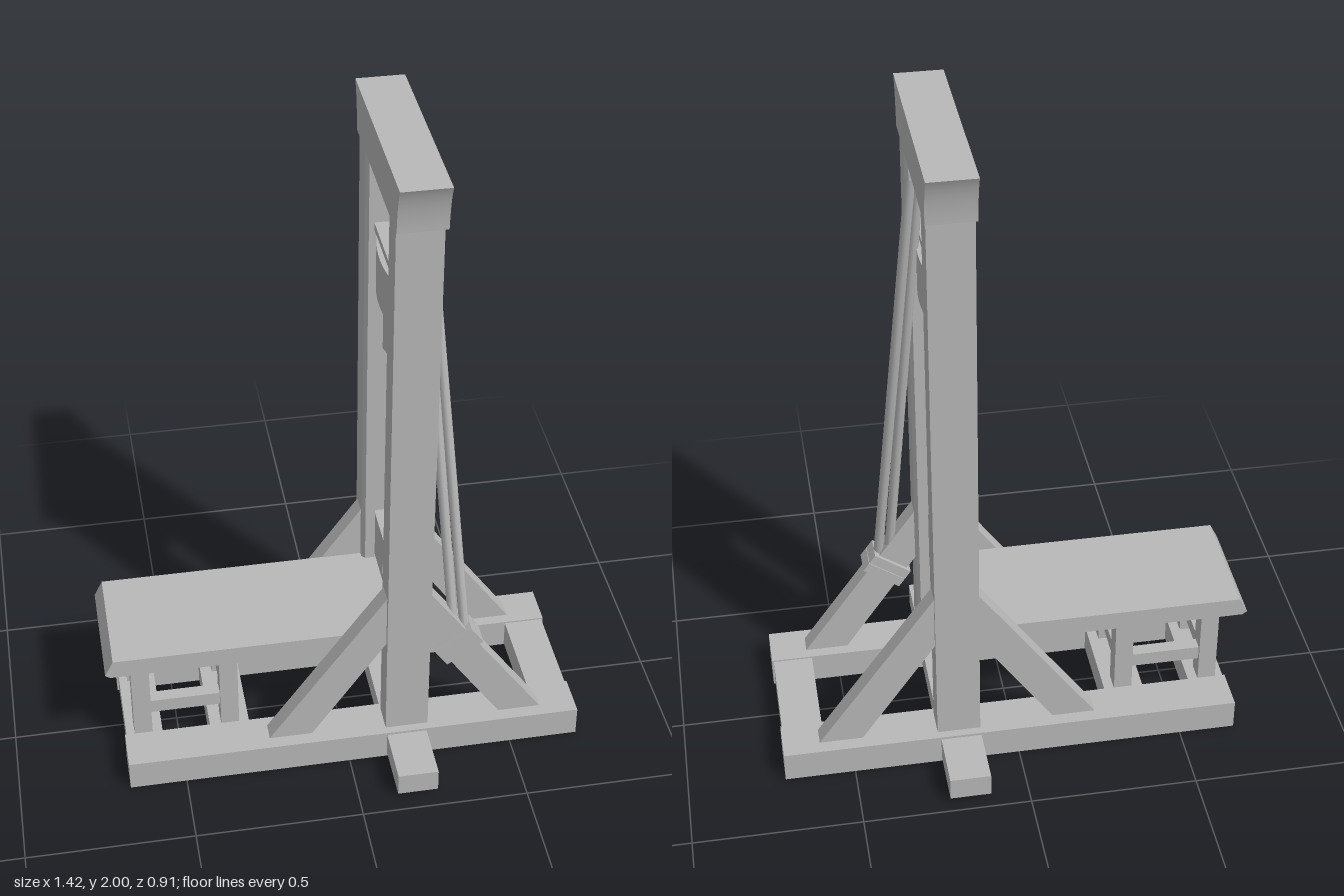
import * as THREE from 'three';

export function createModel() {
  const model = new THREE.Group();
  const grey = new THREE.MeshStandardMaterial({ color: 0xb8b8b8 });
  grey.name = 'grey';
  const frame = new THREE.Group();
  frame.name = 'frame';
  frame.position.z = -0.007;
  model.add(frame);

  const add = (name, geometry) => {
    const mesh = new THREE.Mesh(geometry, grey);
    mesh.name = name;
    frame.add(mesh);
    return mesh;
  };
  // Box given by its lower and upper limits on each axis
  const box = (name, x0, x1, y0, y1, z0, z1) => add(name,
    new THREE.BoxGeometry(x1 - x0, y1 - y0, z1 - z0)
      .translate((x0 + x1) / 2, (y0 + y1) / 2, (z0 + z1) / 2));
  const outline = (pts) => new THREE.Shape(pts.map(([a, b]) => new THREE.Vector2(a, b)));
  const extrude = (shape, depth) =>
    new THREE.ExtrudeGeometry(shape, { depth, bevelEnabled: false, curveSegments: 24 });
  // Prism with an x-y outline between z0 and z1
  const prismZ = (name, pts, z0, z1) => add(name, extrude(outline(pts), z1 - z0).translate(0, 0, z0));
  // Prism with a z-y outline between x0 and x1
  const prismX = (name, shape, x0, x1) =>
    add(name, extrude(shape, x1 - x0).rotateY(-Math.PI / 2).translate(x1, 0, 0));
  // Prism with an x-z outline between y0 and y1
  const prismY = (name, pts, y0, y1) =>
    add(name, extrude(outline(pts.map(([x, z]) => [x, -z])), y1 - y0).rotateX(-Math.PI / 2).translate(0, y0, 0));
  // Straight round rope between two points
  const rope = (name, a, b, radius) => add(name, new THREE.TubeGeometry(
    new THREE.LineCurve3(new THREE.Vector3(...a), new THREE.Vector3(...b)), 1, radius, 8));

  for (const s of [-1, 1]) {
    const span = (a, b) => (s > 0 ? [a, b] : [-b, -a]);
    // Base rail
    box('baseRail', -0.67, 0.71, 0, 0.095, ...span(0.15, 0.28));
    // Upright with a guide groove on its inner face
    prismY('upright', [
      [0.115, 0.255], [0.245, 0.255], [0.245, 0.17], [0.235, 0.158], [0.205, 0.158], [0.205, 0.195],
      [0.155, 0.195], [0.155, 0.158], [0.125, 0.158], [0.115, 0.17],
    ].map(([x, z]) => [x, z * s]), 0.09, 1.87);
    // Diagonal braces on both sides of the upright
    prismZ('frontBrace', [[0.116, 0.6], [-0.24, 0.094], [-0.11, 0.094], [0.116, 0.425]], ...span(0.184, 0.24));
    prismZ('rearBrace', [[0.244, 0.6], [0.6, 0.094], [0.47, 0.094], [0.244, 0.425]], ...span(0.184, 0.24));
    // Bench legs and long stretchers
    for (const x of [-0.64, -0.375]) box('benchLeg', x, x + 0.055, 0.08, 0.38, ...span(0.088, 0.148));
    box('benchSideStretcher', -0.6, -0.36, 0.165, 0.21, ...span(0.098, 0.138));
  }

  // Cross beams of the base and the wide foot
  for (const [x0, x1] of [[-0.665, -0.555], [-0.41, -0.29], [0.585, 0.705]])
    box('crossBeam', x0, x1, 0.005, 0.09, -0.16, 0.16);
  box('foot', 0.115, 0.237, 0.015, 0.087, -0.457, 0.457);

  // Bench
  prismZ('benchTop', [[-0.715, 0.375], [-0.69, 0.425], [0.165, 0.425], [0.165, 0.365], [-0.7, 0.365]], -0.185, 0.183);
  for (const x of [-0.632, -0.367]) box('benchEndStretcher', x, x + 0.04, 0.165, 0.21, -0.1, 0.1);

  // Neck board with an oval opening
  const board = outline([[-0.19, 0.385], [0.19, 0.385], [0.19, 0.585], [-0.19, 0.585]]);
  board.holes.push(new THREE.Path().absellipse(0, 0.476, 0.05, 0.04, 0, Math.PI * 2, true));
  prismX('neckBoard', board, 0.158, 0.202);

  // Flared cap beam
  const cap = new THREE.Shape();
  cap.moveTo(-0.278, 1.86);
  cap.lineTo(0.278, 1.86);
  cap.quadraticCurveTo(0.283, 1.95, 0.31, 2);
  cap.lineTo(-0.31, 2);
  cap.quadraticCurveTo(-0.283, 1.95, -0.278, 1.86);
  prismX('capBeam', cap, 0.112, 0.25);

  // Falling weight with bowed faces, and the slanted blade below it
  const bow = [];
  for (let i = 0; i <= 12; i++) {
    const t = -1 + i / 6;
    bow.push([0.21 + 0.025 * (1 - t * t), 0.157 * t]);
  }
  prismY('weight', [...bow, ...bow.map(([x, z]) => [0.36 - x, -z])], 1.465, 1.612);
  box('weightLid', 0.14, 0.22, 1.61, 1.633, -0.157, 0.157);
  box('bladeHolder', 0.157, 0.203, 1.41, 1.467, -0.19, 0.19);
  prismX('blade', outline([[-0.17, 1.2], [0.17, 1.335], [0.17, 1.415], [-0.17, 1.415]]), 0.172, 0.188);

  // Lifting ring, hanging rope and pulley
  add('liftingRing', new THREE.TorusGeometry(0.023, 0.008, 8, 20).rotateY(Math.PI / 2).translate(0.18, 1.655, -0.02));
  rope('hangingRope', [0.18, 1.67, -0.02], [0.18, 1.83, -0.005], 0.012);
  add('pulley', new THREE.CylinderGeometry(0.035, 0.035, 0.03, 20).rotateX(Math.PI / 2).translate(0.205, 1.815, 0));
  for (const z of [-0.027, 0.017]) box('pulleyBracket', 0.19, 0.22, 1.79, 1.865, z, z + 0.01);

  // Paired pull ropes running down to the rear brace
  rope('outerPullRope', [0.25, 1.85, -0.005], [0.358, 0.42, 0.212], 0.015);
  rope('innerPullRope', [0.226, 1.85, 0.005], [0.325, 0.42, 0.21], 0.015);

  // Rope binding around the brace
  for (const d of [-0.017, 0.017]) {
    const binding = add('ropeBinding', new THREE.BoxGeometry(0.132, 0.032, 0.08));
    binding.position.set(0.335 - d * 0.575, 0.388 + d * 0.818, 0.212);
    binding.rotation.z = 0.613;
  }
  return model;
}
